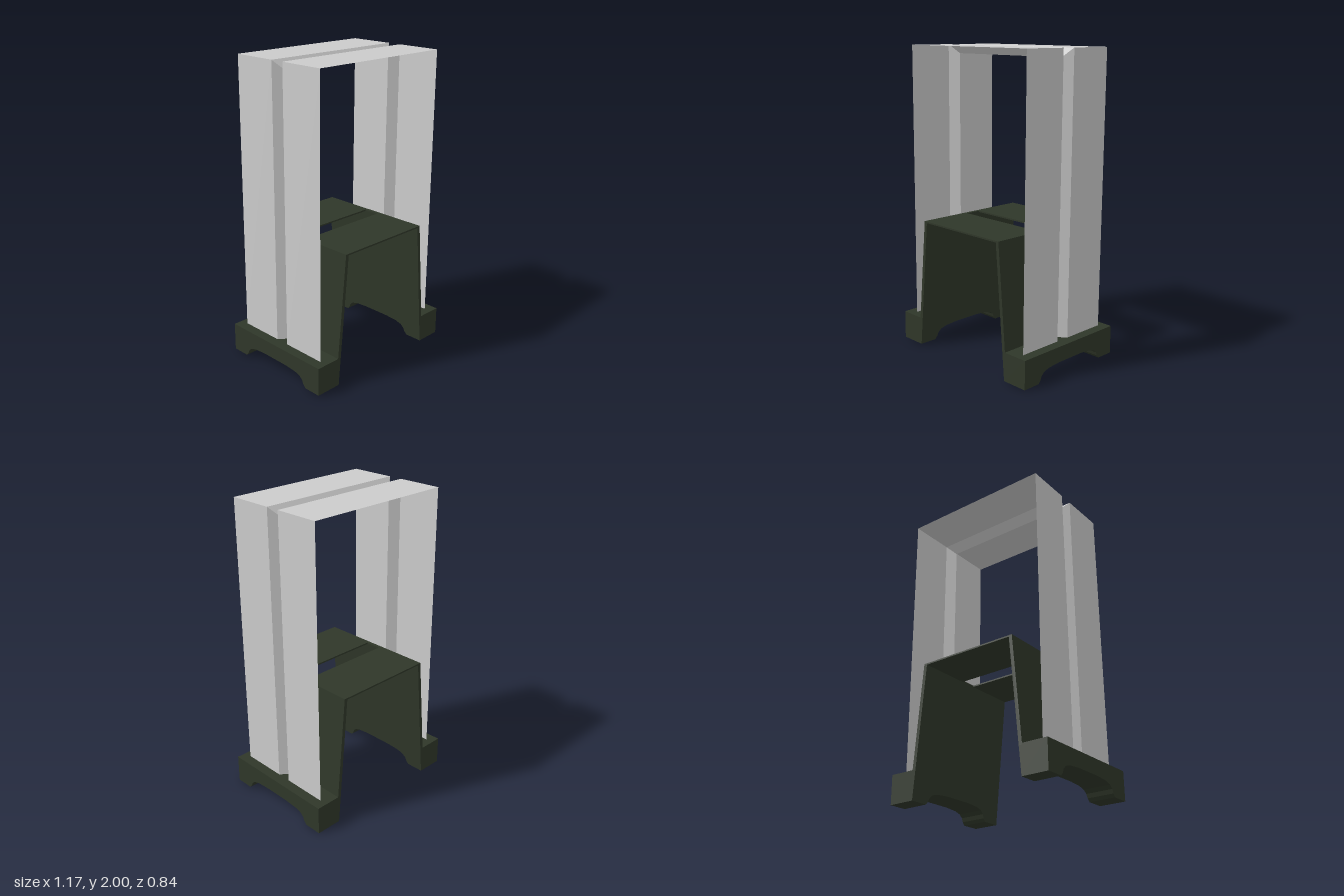
import * as THREE from 'three';

const dark = new THREE.MeshStandardMaterial({ color: 0x2f3729, flatShading: true });
const grey = new THREE.MeshStandardMaterial({ color: 0xcccccc, flatShading: true, side: THREE.DoubleSide });

const HALF_DEPTH = 0.405;
const FOOT_TOP = 0.187;
const ARCH_TOP = 0.868;
const OUTER = 0.575;
const innerX = (y) => 0.4 - 0.09 * y; // leaning inner face of the arch legs

function makeMesh(name, geometry, material) {
  const mesh = new THREE.Mesh(geometry, material);
  mesh.name = name;
  return mesh;
}

// Foot block with a shallow arched cut-out underneath; its inner face follows the leg's lean
function footGeometry(side) {
  const cut = [[0.285, 0], [0.268, 0.02], [0.258, 0.045], [0.235, 0.066], [0.19, 0.079], [0.1, 0.086]];
  const points = [
    [-HALF_DEPTH, 0],
    ...cut.map(([z, y]) => [-z, y]),
    ...cut.slice().reverse(),
    [HALF_DEPTH, 0], [HALF_DEPTH, FOOT_TOP], [-HALF_DEPTH, FOOT_TOP],
  ];
  const shape = new THREE.Shape(points.map(([z, y]) => new THREE.Vector2(z, y)));
  const geo = new THREE.ExtrudeGeometry(shape, { depth: 1, bevelEnabled: false });
  geo.rotateY(side * Math.PI / 2);
  const p = geo.attributes.position;
  for (let i = 0; i < p.count; i++) {
    p.setX(i, side * (Math.abs(p.getX(i)) > 0.5 ? OUTER : innerX(p.getY(i))));
  }
  geo.computeVertexNormals();
  return geo;
}

// Thin leaning leg panel, extruded front to back
function legGeometry(side) {
  const t = 0.023;
  const y0 = FOOT_TOP - 0.01;
  const shape = new THREE.Shape([
    [innerX(y0), y0], [innerX(y0) + t, y0], [innerX(ARCH_TOP) + t, ARCH_TOP], [innerX(ARCH_TOP), ARCH_TOP],
  ].map(([x, y]) => new THREE.Vector2(side * x, y)));
  return new THREE.ExtrudeGeometry(shape, { depth: 2 * HALF_DEPTH, bevelEnabled: false })
    .translate(0, 0, -HALF_DEPTH);
}

// Arch top with a long slot across the middle
function archTopGeometry() {
  const rect = (Type, w, d) => new Type([[-w, -d], [w, -d], [w, d], [-w, d]]
    .map(([x, y]) => new THREE.Vector2(x, y)));
  const shape = rect(THREE.Shape, innerX(ARCH_TOP) + 0.022, HALF_DEPTH);
  shape.holes.push(rect(THREE.Path, innerX(ARCH_TOP), 0.055));
  return new THREE.ExtrudeGeometry(shape, { depth: 0.01, bevelEnabled: false })
    .rotateX(-Math.PI / 2).translate(0, ARCH_TOP - 0.01, 0);
}

// Thin folded sheet: a V-grooved section carried up, across and down with mitred corners
function frameGeometry() {
  const section = [[0.353, 0], [0.047, 0], [0, 0.058], [-0.047, 0], [-0.353, 0]]; // z, inset
  const w = 0.509, top = 1.99, bottom = FOOT_TOP - 0.004;
  const stations = [
    (d) => [-w + d, bottom], (d) => [-w + d, top - d],
    (d) => [w - d, top - d], (d) => [w - d, bottom],
  ];
  const positions = [];
  const indices = [];
  for (const station of stations) {
    for (const [z, inset] of section) positions.push(...station(inset), z);
  }
  const n = section.length;
  for (let s = 0; s < stations.length - 1; s++) {
    for (let i = 0; i < n - 1; i++) {
      const a = s * n + i, b = a + n;
      indices.push(a, b, a + 1, b, b + 1, a + 1);
    }
  }
  const indexed = new THREE.BufferGeometry();
  indexed.setAttribute('position', new THREE.Float32BufferAttribute(positions, 3));
  indexed.setIndex(indices);
  const geo = indexed.toNonIndexed();
  geo.computeVertexNormals();
  return geo;
}

export function createModel() {
  const model = new THREE.Group();
  model.name = 'archStand';

  const base = new THREE.Group();
  base.name = 'base';
  for (const [side, label] of [[1, 'left'], [-1, 'right']]) {
    base.add(makeMesh(label + 'Foot', footGeometry(side), dark));
    base.add(makeMesh(label + 'Leg', legGeometry(side), dark));
  }
  base.add(makeMesh('slottedArchTop', archTopGeometry(), dark));

  const body = new THREE.Group();
  body.name = 'body';
  body.add(base, makeMesh('groovedFrame', frameGeometry(), grey));
  // The whole piece stands slightly turned and leaning
  body.rotation.set(0, -0.024, -0.009);
  body.position.set(-0.005, 0.006, 0);
  model.add(body);
  return model;
}
